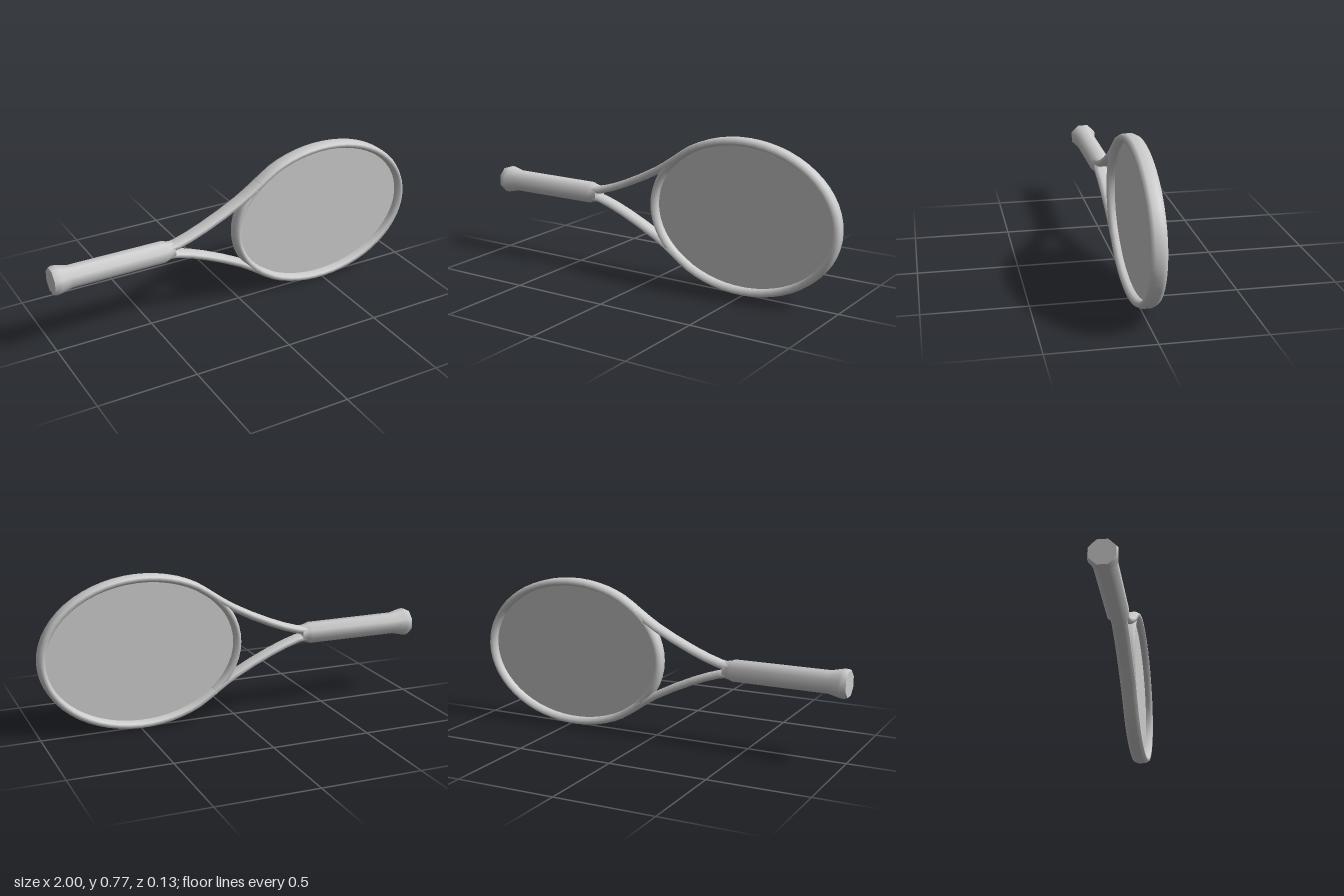
import * as THREE from 'three';
import { toCreasedNormals } from 'three/addons/utils/BufferGeometryUtils.js';

const MID_Y = 0.3875;                               // height of the long axis
const HEAD = { x: 0.4825, a: 0.499, b: 0.369 };     // centre line of the hoop
const SECTION = [                                   // [across, depth] of the frame tube
  [0.0185, -0.018], [0.0185, 0.018], [0.009, 0.0375], [-0.009, 0.0375],
  [-0.0185, 0.018], [-0.0185, -0.018], [-0.009, -0.0375], [0.009, -0.0375],
];

const grey = new THREE.MeshStandardMaterial({ color: 0xcccccc });
const sheet = new THREE.MeshStandardMaterial({ color: 0xcccccc, side: THREE.DoubleSide });

function addMesh(group, name, geometry, material = grey) {
  const mesh = new THREE.Mesh(geometry, material);
  mesh.name = name;
  group.add(mesh);
  return mesh;
}

function headPoint(degrees) {
  const t = THREE.MathUtils.degToRad(degrees);
  return new THREE.Vector3(HEAD.x + HEAD.a * Math.cos(t), HEAD.b * Math.sin(t), 0);
}

// Sweep the frame section along a flat curve in the xy plane
function sweep(curve, steps) {
  const positions = [], index = [], n = SECTION.length;
  for (let i = 0; i <= steps; i++) {
    const p = curve.getPoint(i / steps), t = curve.getTangent(i / steps);
    for (const [across, depth] of SECTION) {
      positions.push(p.x - t.y * across, p.y + t.x * across, depth);
    }
  }
  for (let i = 0; i < steps; i++) {
    for (let j = 0; j < n; j++) {
      const a = i * n + j, b = i * n + (j + 1) % n;
      index.push(a, b, a + n, b, b + n, a + n);
    }
  }
  const geometry = new THREE.BufferGeometry();
  geometry.setAttribute('position', new THREE.Float32BufferAttribute(positions, 3));
  geometry.setIndex(index);
  geometry.computeVertexNormals();
  return geometry;
}

export function createModel() {
  const racket = new THREE.Group();
  racket.name = 'racket';
  racket.position.y = MID_Y;

  // Frame: lower arm, around the head, back along the upper arm
  const arm = [[-0.41, 0.017], [-0.35, 0.025], [-0.2, 0.078], [0, 0.174], [0.1, 0.238]];
  const path = arm.map(([x, y]) => new THREE.Vector3(x, -y, 0));
  for (let d = -125; d <= 125; d += 12.5) path.push(headPoint(d));
  path.push(...arm.map(([x, y]) => new THREE.Vector3(x, y, 0)).reverse());
  addMesh(racket, 'frame', sweep(new THREE.CatmullRomCurve3(path), 60));

  // Bridge closing the head at the throat
  const bridge = [];
  for (let d = 137; d <= 223; d += 10.75) bridge.push(headPoint(d));
  addMesh(racket, 'throatBridge', sweep(new THREE.CatmullRomCurve3(bridge), 14));

  // String bed
  const bed = new THREE.Shape().absellipse(HEAD.x, 0, HEAD.a - 0.008, HEAD.b - 0.008, 0, Math.PI * 2);
  addMesh(racket, 'stringBed', new THREE.ShapeGeometry(bed, 24), sheet);

  // Eight-sided handle with a flared butt: [x, half width across the flats]
  const profile = [
    [-1, 0], [-1, 0.061], [-0.985, 0.066], [-0.965, 0.065], [-0.905, 0.052],
    [-0.42, 0.051], [-0.4, 0.044], [-0.37, 0.039], [-0.37, 0],
  ].map(([x, r]) => new THREE.Vector2(r / Math.cos(Math.PI / 8), x));
  const handle = new THREE.LatheGeometry(profile, 8, Math.PI / 8);
  addMesh(racket, 'handle', toCreasedNormals(handle, 0.9)).rotation.z = -Math.PI / 2;

  const model = new THREE.Group();
  model.add(racket);
  return model;
}
